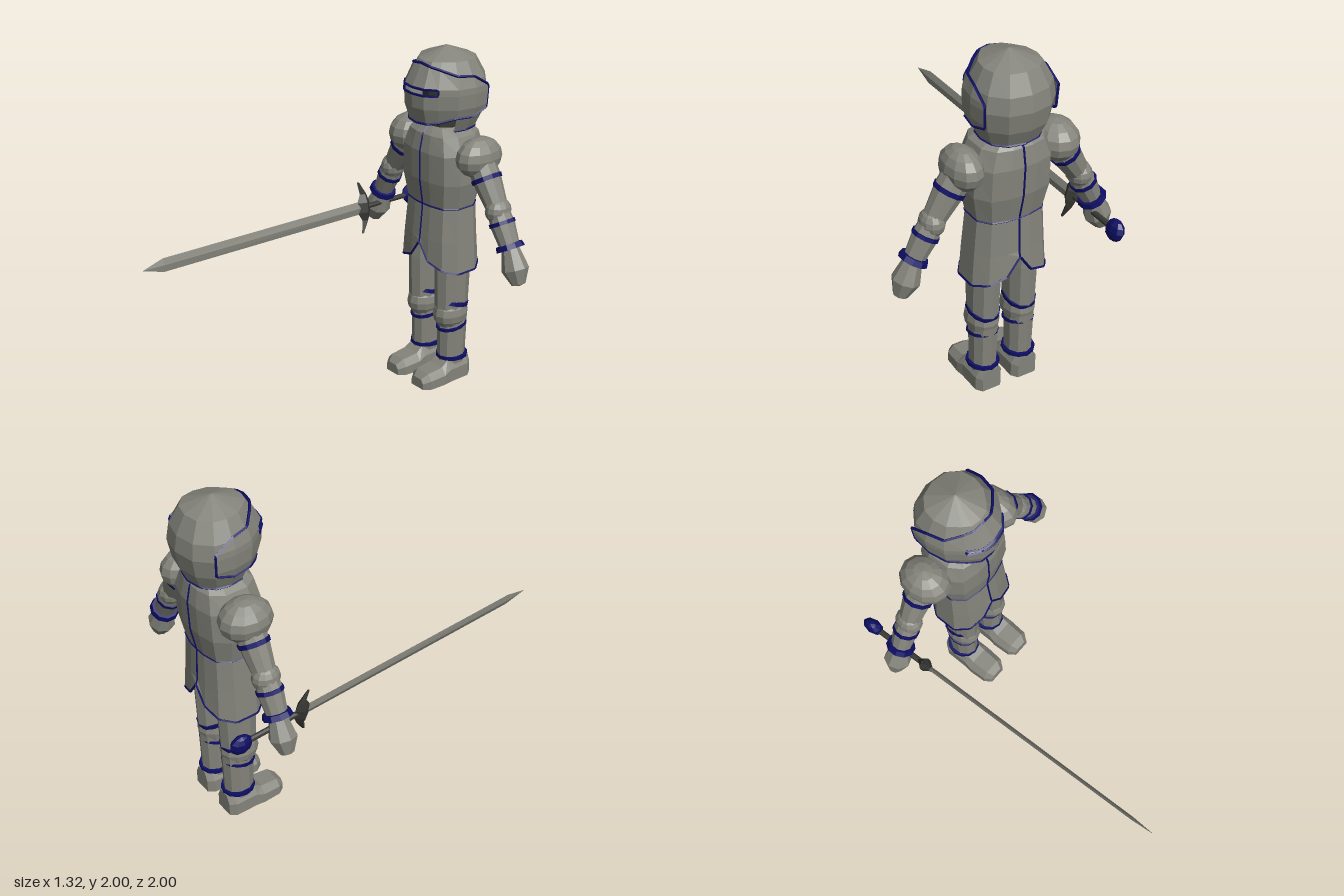
import * as THREE from 'three';

const V = (x, y, z) => new THREE.Vector3(x, y, z);
const mat = (name, color) => {
  const m = new THREE.MeshStandardMaterial({ color, flatShading: true, side: THREE.DoubleSide });
  m.name = name;
  return m;
};
const CZ = -0.7; // depth of the body's axis

export function createModel() {
  const steel = mat('steel', 0x84847c);
  const blue = mat('navy trim', 0x0e0e66);
  const dark = mat('dark iron', 0x383835);
  const root = new THREE.Group();
  root.name = 'armouredKnight';

  const add = (parent, name, geo, material) => {
    const m = new THREE.Mesh(geo, material);
    m.name = name;
    parent.add(m);
    return m;
  };

  // Surface through rows of points; skip(row, col) leaves a hole
  const loft = (rows, closed = true, skip = () => false) => {
    const n = rows[0].length, idx = [];
    for (let r = 0; r < rows.length - 1; r++)
      for (let c = 0; c < (closed ? n : n - 1); c++) {
        if (skip(r, c)) continue;
        const a = r * n + c, b = r * n + (c + 1) % n;
        idx.push(a, b, a + n, b, b + n, a + n);
      }
    const g = new THREE.BufferGeometry().setFromPoints(rows.flat());
    g.setIndex(idx);
    g.computeVertexNormals();
    return g;
  };
  const point = (row) => {
    const c = row.reduce((s, p) => s.add(p), V(0, 0, 0)).divideScalar(row.length);
    return row.map(() => c);
  };
  const capped = (rows) => loft([point(rows[0]), ...rows, point(rows[rows.length - 1])]);
  const mirrorRing = (half) => [...half, ...half.slice(1, -1).reverse().map(([x, ...o]) => [-x, ...o])];
  const trim = (parent, name, pts, closed = false, r = 0.007) => add(parent, name,
    new THREE.TubeGeometry(new THREE.CatmullRomCurve3(pts, closed, 'catmullrom', 0), pts.length * 6, r, 4, closed), blue);

  // Turned part running from a to b; profile is [radius, fraction along]
  const turned = (parent, name, a, b, profile, material, sides = 10, zScale = 1) => {
    const d = b.clone().sub(a), len = d.length();
    const m = add(parent, name, new THREE.LatheGeometry(
      profile.map(([r, t]) => new THREE.Vector2(r, t * len)), sides), material);
    m.position.copy(a);
    m.quaternion.setFromUnitVectors(V(0, 1, 0), d.normalize());
    m.scale.z = zScale;
    return m;
  };
  const ball = (parent, name, p, rx, ry, rz, material = steel) => {
    const m = add(parent, name, new THREE.SphereGeometry(1, 12, 8), material);
    m.position.copy(p);
    m.scale.set(rx, ry, rz);
    return m;
  };

  // --- Tunic: breastplate and split skirt in one shell
  const outline = mirrorRing([[0, 1, 0.87], [0.32, 0.98, 0.765], [0.75, 0.84, 0.73], [1, 0.4, 0.71],
    [1, -0.4, 0.71], [0.75, -0.84, 0.73], [0.32, -0.98, 0.765], [0, -1, 0.87]]);
  const bodyRow = (y, w, zf, zb, hem) => outline.map(([x, z, hy]) =>
    V(x * w, hem ? hy : y, (zf + zb) / 2 + z * (zf - zb) / 2));
  const body = [
    bodyRow(0.71, 0.225, -0.53, -0.86, true),
    bodyRow(0.9, 0.212, -0.535, -0.85),
    bodyRow(1.1, 0.198, -0.55, -0.84),
    bodyRow(1.25, 0.228, -0.525, -0.87),
    bodyRow(1.42, 0.225, -0.52, -0.875),
    bodyRow(1.52, 0.185, -0.54, -0.855),
    bodyRow(1.56, 0.12, -0.58, -0.82),
  ];
  add(root, 'tunic', loft([...body, point(body[6])]), steel);
  trim(root, 'hemTrim', body[0], true);
  trim(root, 'waistTrim', body[2], true, 0.006);
  trim(root, 'frontSeam', body.map((r) => r[0]), false, 0.006);
  trim(root, 'backSeam', body.map((r) => r[7]), false, 0.006);

  // --- Helmet: outlines shrink with height by the same rule
  const steps = [[1.55, 0.73], [1.6, 0.85], [1.68, 0.97], [1.75, 1], [1.81, 0.98], [1.87, 0.89], [1.94, 0.7], [2, 0]];
  const shrink = (y) => {
    const i = Math.max(1, steps.findIndex((s) => s[0] >= y));
    const [a, b] = [steps[i - 1], steps[i]];
    return THREE.MathUtils.mapLinear(y, a[0], b[0], a[1], b[1]);
  };
  const headPoint = (x, y, z) => V(x * shrink(y), y, CZ + z * shrink(y));
  const helmet = new THREE.Group();
  helmet.name = 'helmet';
  root.add(helmet);
  const shell = mirrorRing([[0, 0.238], [0.08, 0.222], [0.133, 0.17], [0.2, 0.085], [0.22, -0.02],
    [0.2, -0.12], [0.12, -0.2], [0, -0.225]]);
  const headRow = (y, pts) => pts.map(([x, z]) => headPoint(x, y, z));
  add(helmet, 'crown', loft([1.84, 1.94, 2].map((y) => headRow(y, shell))), steel);
  const backRows = [1.55, 1.64, 1.75, 1.84].map((y) => headRow(y, shell.slice(3, 12)));
  add(helmet, 'backShell', loft(backRows, false), steel);
  trim(helmet, 'neckTrim', backRows[0], false, 0.008);
  const inner = add(helmet, 'innerHead', new THREE.CylinderGeometry(0.13, 0.12, 0.32, 10), dark);
  inner.position.set(0, 1.68, CZ);

  // Visor columns: x, z, bottom y, top y
  const half = [[0, 0.25, 1.595, 1.93], [0.08, 0.235, 1.6, 1.92], [0.14, 0.18, 1.61, 1.905],
    [0.21, 0.09, 1.64, 1.875], [0.23, -0.02, 1.635, 1.865], [0.215, -0.125, 1.67, 1.8]];
  const cols = [...half.slice(1).reverse().map(([x, ...o]) => [-x, ...o]), ...half];
  const visorRows = [0, 1.69, 1.77, 1.805, 3].map((y) => cols.map(([x, z, lo, hi]) =>
    headPoint(x, THREE.MathUtils.clamp(y, lo, hi), z)));
  add(helmet, 'visor', loft(visorRows, false, (r, c) => r === 2 && c >= 3 && c <= 6), steel);
  trim(helmet, 'visorTrim', [...visorRows[4], ...visorRows[0].slice().reverse()], true, 0.008);
  trim(helmet, 'slotTrim', [...visorRows[3].slice(3, 8), ...visorRows[2].slice(3, 8).reverse()], true, 0.007);

  // --- Arms
  for (const s of [-1, 1]) {
    const arm = new THREE.Group();
    arm.name = s > 0 ? 'leftArm' : 'rightArm';
    root.add(arm);
    const z = -0.715, k = s > 0 ? 0 : 0.012;
    const shoulder = V(s * (0.27 + k), 1.42, z), elbow = V(s * (0.437 + k), 1.155, z);
    const wrist = V(s * 0.545, 0.965, z), tip = V(s * 0.625, 0.765, z);
    ball(arm, 'shoulderGuard', shoulder, 0.1 + k * 2, 0.115, 0.15);
    turned(arm, 'upperArm', shoulder, elbow, [[0.08, 0], [0.082, 0.4], [0.06, 1]], steel);
    turned(arm, 'upperArmBand', shoulder, elbow, [[0.078, 0.37], [0.088, 0.37], [0.086, 0.45], [0.076, 0.45]], blue);
    ball(arm, 'elbowGuard', elbow, 0.068, 0.075, 0.08);
    turned(arm, 'forearm', elbow, wrist, [[0.06, 0], [0.07, 0.35], [0.056, 1]], steel);
    turned(arm, 'forearmBand', elbow, wrist, [[0.066, 0.28], [0.074, 0.28], [0.075, 0.38], [0.066, 0.38]], blue);
    turned(arm, 'wristBand', elbow, wrist, [[0.05, 0.88], [0.074, 0.88], [0.082, 1.02], [0.05, 1.02]], blue);
    turned(arm, 'hand', wrist, tip, [[0, 0], [0.05, 0], [0.078, 0.55], [0.04, 0.95], [0, 1]], steel, 8, 0.98);
  }

  // --- Legs and feet
  const feet = [[-0.8, 0.055, 0.13], [-0.765, 0.08, 0.135], [-0.63, 0.08, 0.13], [-0.585, 0.086, 0.1],
    [-0.48, 0.08, 0.09], [-0.44, 0.05, 0.06]];
  for (const s of [-1, 1]) {
    const leg = new THREE.Group();
    leg.name = s > 0 ? 'leftLeg' : 'rightLeg';
    leg.position.x = s * 0.113;
    root.add(leg);
    turned(leg, 'thigh', V(0, 0.45, -0.69), V(0, 0.9, -0.69), [[0.08, 0], [0.086, 0.6], [0.08, 1]], steel, 10, 1.33);
    ball(leg, 'kneeGuard', V(0, 0.42, -0.685), 0.09, 0.105, 0.112);
    turned(leg, 'shin', V(0, 0.1, -0.7), V(0, 0.4, -0.7), [[0.072, 0], [0.078, 1]], steel, 10, 1.2);
    const band = (name, y, z, r, h, tilt, depth) => {
      const m = add(leg, name, new THREE.CylinderGeometry(r, r, h, 12), blue);
      m.position.set(0, y, z);
      m.rotation.x = tilt;
      m.scale.z = depth;
    };
    band('thighBand', 0.488, -0.695, 0.088, 0.024, -0.28, 1.2);
    band('kneeBand', 0.342, -0.695, 0.083, 0.018, 0.2, 1.16);
    band('ankleBand', 0.14, -0.705, 0.09, 0.02, 0, 1.07);
    add(leg, 'foot', capped(feet.map(([z, w, h]) => [[1, 0], [1, 0.6], [0.6, 1], [-0.6, 1], [-1, 0.6], [-1, 0]]
      .map(([x, y]) => V(x * w, y * h, z)))), steel);
  }

  // --- Sword held in the right hand, built along its own z
  const sword = new THREE.Group();
  sword.name = 'sword';
  sword.position.set(-0.53, 0.9, -0.57);
  sword.lookAt(-0.485, 0.953, 1);
  sword.rotateZ(0.2);
  root.add(sword);
  const blade = [[0, 0.012, 0.038], [1.44, 0.009, 0.038], [1.57, 0.001, 0.002]].map(([z, a, b]) =>
    [V(a, 0, z), V(0, b, z), V(-a, 0, z), V(0, -b, z)]);
  add(sword, 'blade', capped(blade), steel);
  const guard = [[-0.155, 0.006, 0.04], [-0.08, 0.018, 0.01], [-0.03, 0.036, 0.012], [0.03, 0.036, 0.012],
    [0.08, 0.018, 0.01], [0.155, 0.006, 0.04]].map(([y, r, z]) =>
    [V(0, y, z + r * 1.4), V(r, y, z), V(0, y, z - r * 1.2), V(-r, y, z)]);
  add(sword, 'crossGuard', capped(guard), dark);
  turned(sword, 'grip', V(0, 0, -0.32), V(0, 0, 0), [[0.016, 0], [0.016, 1]], dark, 8);
  const pommel = add(sword, 'pommel', new THREE.SphereGeometry(1, 8, 6), blue);
  pommel.position.z = -0.365;
  pommel.scale.set(0.04, 0.062, 0.065);

  return root;
}
